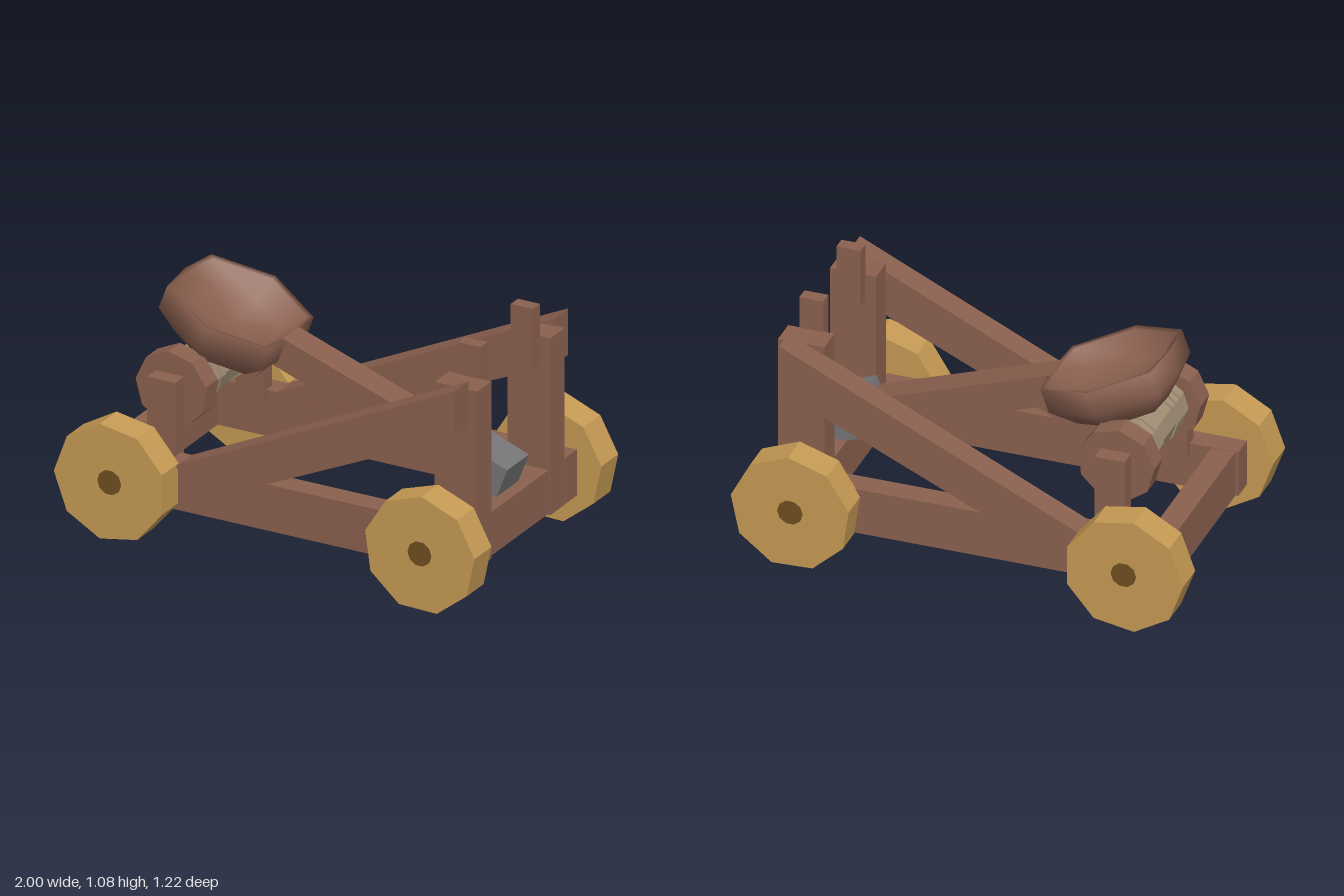
import * as THREE from 'three';
import { mergeVertices } from 'three/addons/utils/BufferGeometryUtils.js';

const mat = (name, color, flat = true) => {
  const m = new THREE.MeshStandardMaterial({ color, flatShading: flat });
  m.name = name;
  return m;
};

export function createModel() {
  const group = new THREE.Group();
  const wood = mat('brown wood', 0x8a604f);
  const smoothWood = wood.clone();
  smoothWood.flatShading = false;
  const wheelWood = mat('golden wood', 0xc69a54);
  const hubWood = mat('dark hub', 0x6e4f20);
  const rope = mat('tan rope', 0xa08d75);
  const iron = mat('grey iron', 0x757575);

  const add = (name, geo, material, x = 0, y = 0, z = 0, rotZ = 0) => {
    const m = new THREE.Mesh(geo, material);
    m.name = name;
    m.position.set(x, y, z);
    m.rotation.z = rotZ;
    group.add(m);
    return m;
  };
  // Box given by its limits on each axis
  const box = (name, x0, x1, y0, y1, z0, z1, material = wood) =>
    add(name, new THREE.BoxGeometry(x1 - x0, y1 - y0, z1 - z0), material,
      (x0 + x1) / 2, (y0 + y1) / 2, (z0 + z1) / 2);
  // Polygonal disc lying along z, first corner at the given angle
  const disc = (r, depth, sides, startDeg) => {
    const g = new THREE.CylinderGeometry(r, r, depth, sides);
    g.rotateX(Math.PI / 2);
    g.rotateZ(THREE.MathUtils.degToRad(startDeg + 90));
    return g;
  };

  // Cross beams
  box('frontCrossBeam', 0.675, 0.867, 0.147, 0.345, -0.37, 0.37);
  box('rearCrossBeam', -0.872, -0.767, 0.147, 0.355, -0.37, 0.37);

  // Leaning side brace, cut square at its upper end
  const braceShape = new THREE.Shape([
    [-0.52, 0.34], [-0.11, 0.34], [0.83, 0.77], [0.83, 0.98],
  ].map(p => new THREE.Vector2(...p)));
  const braceGeo = new THREE.ExtrudeGeometry(braceShape, { depth: 0.118, bevelEnabled: false });
  braceGeo.translate(0, 0, -0.059);

  for (const s of [1, -1]) {
    const side = s > 0 ? 'Left' : 'Right';
    const sideBox = (name, x0, x1, y0, y1, z0, z1) =>
      box(name, x0, x1, y0, y1, Math.min(s * z0, s * z1), Math.max(s * z0, s * z1));
    sideBox('sideBeam' + side, -0.885, 0.88, 0.148, 0.357, 0.362, 0.47);
    add('brace' + side, braceGeo, wood, 0, 0, s * 0.422);
    sideBox('post' + side, 0.672, 0.876, 0.143, 0.945, 0.248, 0.369);
    sideBox('peg' + side, 0.72, 0.826, 0.82, 1.09, 0.19, 0.251);
    sideBox('axleSupport' + side, -0.67, -0.536, 0.3, 0.69, 0.335, 0.41);

    // Wheels with flat painted hubs
    for (const [end, x, start] of [['Rear', -0.737, 180], ['Front', 0.735, 88]]) {
      add('wheel' + end + side, disc(0.264, 0.143, 9, start), wheelWood, x, 0.268, s * 0.536);
      add('hub' + end + side, disc(0.056, 0.004, 10, 0), hubWood, x, 0.272, s * 0.608);
    }
    // Spool end disc
    add('spoolDisc' + side, disc(0.17, 0.1, 9, 95), wood, -0.6, 0.615, s * 0.278);
    // Raised rope turns on either side of the arm
    for (const z of [0.1, 0.145, 0.19])
      add('ropeTurn' + side, disc(0.122, 0.035, 10, 0), rope, -0.6, 0.615, s * z);
  }
  add('ropeCore', disc(0.114, 0.47, 10, 0), rope, -0.6, 0.615, 0);

  // Throwing arm
  const tilt = -0.335;
  add('throwingArm', new THREE.BoxGeometry(0.86, 0.138, 0.136), wood, 0.165, 0.622, 0, tilt);

  // Hollow eight-sided bowl, longer corners fore and aft
  let cup = new THREE.LatheGeometry([
    [0, -0.205], [0.21, -0.205], [0.3, -0.11], [0.3, 0],
    [0.275, -0.005], [0.2, -0.09], [0, -0.115],
  ].map(p => new THREE.Vector2(...p)), 8);
  const pos = cup.attributes.position;
  for (let i = 0; i < pos.count; i++) {
    const x = pos.getX(i), z = pos.getZ(i);
    if (Math.abs(x) > 0.01 && Math.abs(z) > 0.01) {
      pos.setX(i, x * 1.22);
      pos.setZ(i, z * 0.89);
    } else pos.setX(i, x * 0.93);
  }
  cup.deleteAttribute('normal');
  cup.deleteAttribute('uv');
  cup = mergeVertices(cup, 1e-4);
  cup.computeVertexNormals();
  smoothWood.side = THREE.DoubleSide;
  add('cup', cup, smoothWood, -0.457, 0.915, 0, -0.354);

  // Tilted iron block at the foot of the arm
  add('counterweight', new THREE.BoxGeometry(0.267, 0.19, 0.185), iron, 0.703, 0.435, 0, -0.364);

  return group;
}
